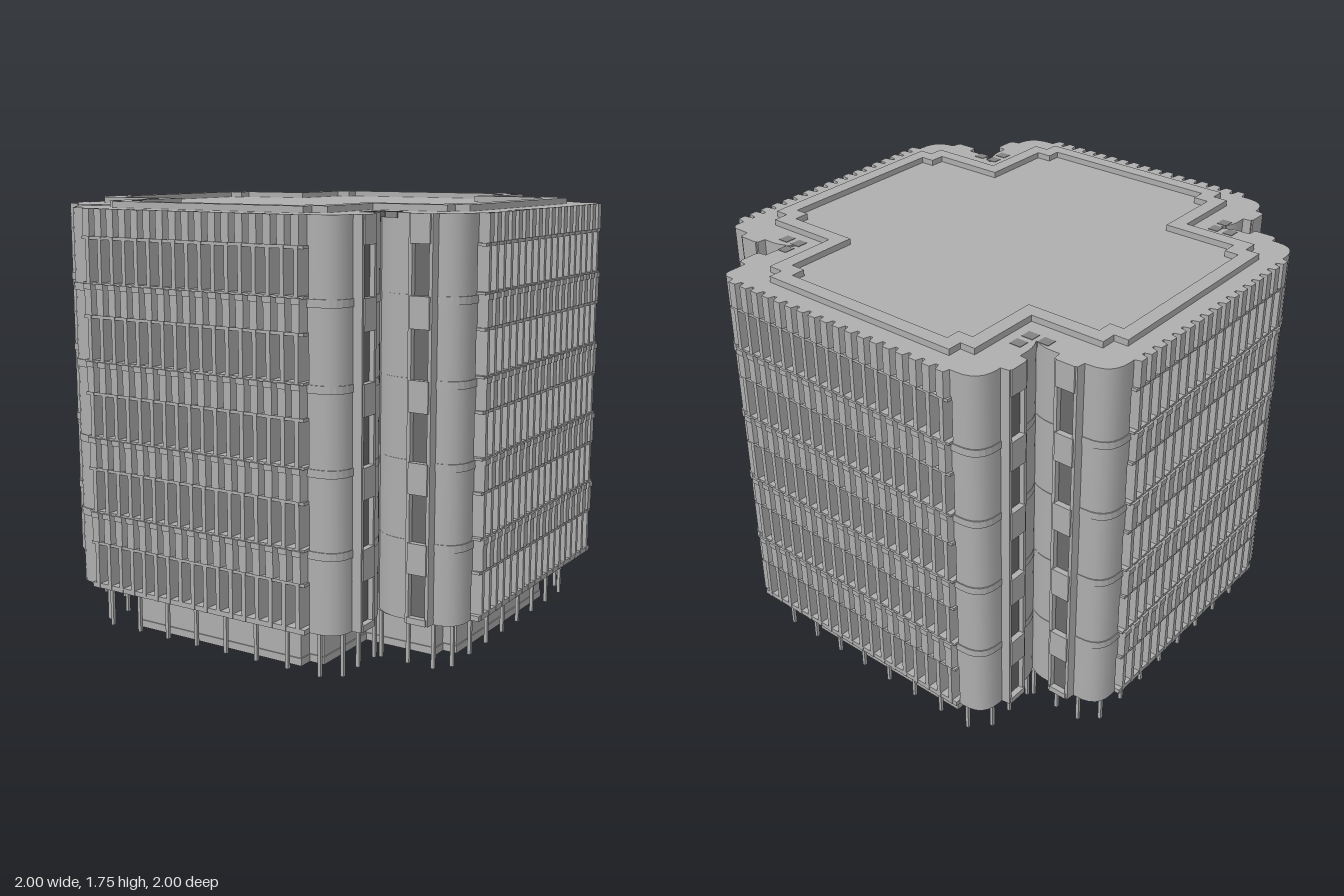
import * as THREE from 'three';
import { mergeGeometries, toCreasedNormals } from 'three/addons/utils/BufferGeometryUtils.js';

const concrete = new THREE.MeshStandardMaterial({ color: 0xaeaeae });
const shell = new THREE.MeshStandardMaterial({ color: 0xaeaeae, side: THREE.DoubleSide });
const glass = new THREE.MeshStandardMaterial({ color: 0x6a6a6a });
const pad = new THREE.MeshStandardMaterial({ color: 0x828282 });

const TOP = 1.727, BOTTOM = 0.195, FLOORS = 5, STEP = 0.3075;

// Four wings, turned a quarter each: side lines a/b, facade limits f0/f1,
// end distance v, rib tip, rib count, corner radii r0/r1
const WINGS = [
  { a: -0.65, b: 0.635, f0: -0.53, f1: 0.51, v: 0.95, tip: 0.99, n: 17, r0: 0.1, r1: 0.1 },
  { a: -0.63, b: 0.65, f0: -0.51, f1: 0.59, v: 0.95, tip: 0.99, n: 18, r0: 0.1, r1: 0.04 },
  { a: -0.635, b: 0.65, f0: -0.58, f1: 0.53, v: 0.97, tip: 0.997, n: 18, r0: 0.04, r1: 0.1 },
  { a: -0.65, b: 0.63, f0: -0.53, f1: 0.51, v: 0.97, tip: 0.997, n: 17, r0: 0.1, r1: 0.1 },
];

// Upright extrusion of a plan shape (plan y = -z)
function rise(shape, y0, y1) {
  const g = new THREE.ExtrudeGeometry(shape, { depth: y1 - y0, bevelEnabled: false, curveSegments: 6 });
  return g.rotateX(-Math.PI / 2).translate(0, y0, 0);
}

// Trapezoid prism standing on the line z = z0 and pointing to z1
function tooth(x, wBase, wTip, z0, z1, y0, y1) {
  const s = new THREE.Shape([[-wBase, z0], [-wTip, z1], [wTip, z1], [wBase, z0]]
    .map(([px, pz]) => new THREE.Vector2(x + px / 2, -pz)));
  return rise(s, y0, y1);
}

function box(x0, x1, y0, y1, z0, z1) {
  return new THREE.BoxGeometry(x1 - x0, y1 - y0, z1 - z0)
    .translate((x0 + x1) / 2, (y0 + y1) / 2, (z0 + z1) / 2);
}

// Rounded cross plan; facades sunk by d, everything grown by factor k
function plan(d, k = 1) {
  const s = new THREE.Shape();
  WINGS.forEach((w, i) => {
    const at = (u, v) => {
      let p = [u * k, -v * k];
      for (let j = 0; j < i; j++) p = [-p[1], p[0]];
      return p;
    };
    const line = (u, v) => s.lineTo(...at(u, v));
    const curve = (cu, cv, u, v) => s.quadraticCurveTo(...at(cu, cv), ...at(u, v));
    if (i === 0) s.moveTo(...at(w.a + 0.05, 0.59));
    else line(w.a + 0.05, 0.59);
    curve(w.a + 0.005, 0.64, w.a, 0.7);
    line(w.a, w.v - w.r0);
    curve(w.a, w.v, w.a + w.r0, w.v);
    line(w.f0, w.v);
    if (d > 0) {
      line(w.f0, w.v - d);
      line(w.f1, w.v - d);
    }
    line(w.f1, w.v);
    line(w.b - w.r1, w.v);
    curve(w.b, w.v, w.b, w.v - w.r1);
    line(w.b, 0.7);
    curve(w.b - 0.005, 0.64, w.b - 0.05, 0.59);
  });
  return s;
}

// Square cross plan with one small step at each outer corner
function steppedCross(e) {
  const pts = [];
  const quarter = [[e - 0.44, -e], [e - 0.44, 0.06 - e], [e - 0.375, 0.06 - e], [e - 0.375, 0.375 - e],
    [e - 0.06, 0.375 - e], [e - 0.06, 0.44 - e], [e, 0.44 - e]];
  for (let i = 0; i < 4; i++) {
    for (const q of quarter) {
      let p = q;
      for (let j = 0; j < i; j++) p = [-p[1], p[0]];
      pts.push(new THREE.Vector2(p[0] - 0.01, p[1] + 0.01));
    }
  }
  return pts;
}

function crossRing(outer, inner, y0, y1) {
  const s = new THREE.Shape(steppedCross(outer));
  s.holes.push(new THREE.Path(steppedCross(inner)));
  return rise(s, y0, y1);
}

function createModel() {
  const model = new THREE.Group();
  const add = (parent, name, geometry, mat = concrete) => {
    const mesh = new THREE.Mesh(geometry, mat);
    mesh.name = name;
    parent.add(mesh);
  };

  // Main volume and its roof curb
  add(model, 'towerBody', toCreasedNormals(rise(plan(0.035), BOTTOM, TOP), 0.6));
  add(model, 'roofCurb', crossRing(0.89, 0.83, TOP - 0.01, 1.752));

  // Floor joints running round the whole plan
  const joints = [];
  for (let i = 0; i < FLOORS - 1; i++) {
    const y = 0.48 + i * STEP;
    joints.push(rise(plan(0, 1.004), y, y + 0.03));
  }
  add(model, 'floorJoints', mergeGeometries(joints));

  // Recessed ground floor
  add(model, 'soffit', rise(plan(0, 0.935), 0.18, BOTTOM + 0.002));
  add(model, 'groundWalls', crossRing(0.84, 0.835, 0, 0.185), shell);
  add(model, 'groundPlinth', crossRing(0.845, 0.83, 0, 0.03), shell);

  WINGS.forEach((w, k) => {
    const wing = new THREE.Group();
    wing.name = 'wing' + (k + 1);
    wing.rotation.y = k * Math.PI / 2;
    model.add(wing);

    const spandrels = [], ribs = [], bays = [], panes = [];
    const pitch = (w.f1 - w.f0) / w.n;
    const bottomOf = i => 0.39 + i * STEP;
    const topOf = i => (i === FLOORS - 1 ? TOP : bottomOf(i) + 0.12);

    // Glazing strip behind the ribs
    panes.push(box(w.f0, w.f1, BOTTOM + 0.005, TOP - 0.05, w.v - 0.04, w.v - 0.028));

    // Spandrel bands with ledges over and under each window row
    spandrels.push(box(w.f0, w.f1, BOTTOM, 0.215, w.v - 0.04, w.tip - 0.006));
    for (let i = 0; i < FLOORS; i++) {
      spandrels.push(box(w.f0, w.f1, bottomOf(i), topOf(i), w.v - 0.04, w.v));
      spandrels.push(box(w.f0, w.f1, bottomOf(i) - 0.012, bottomOf(i), w.v - 0.04, w.tip - 0.006));
      if (i < FLOORS - 1) {
        spandrels.push(box(w.f0, w.f1, topOf(i), topOf(i) + 0.01, w.v - 0.04, w.tip - 0.006));
      }
    }

    // Ribs: slim between windows, wide at the spandrels, with a small cap
    for (let j = 0; j < w.n; j++) {
      const x = w.f0 + (j + 0.5) * pitch;
      ribs.push(tooth(x, 0.026, 0.018, w.v - 0.04, w.tip - 0.004, BOTTOM, TOP));
      for (let i = 0; i < FLOORS; i++) {
        ribs.push(tooth(x, 0.052, 0.034, w.v - 0.005, w.tip, bottomOf(i), topOf(i)));
        if (i < FLOORS - 1) {
          ribs.push(tooth(x, 0.055, 0.038, w.v - 0.005, w.tip + 0.004, topOf(i) - 0.018, topOf(i) + 0.004));
        }
      }
    }

    // Projecting window bays on both flanks
    for (const side of [-1, 1]) {
      const wall = side < 0 ? -w.a : w.b;
      const place = g => g.rotateY(side * Math.PI / 2).translate(side * wall, 0, 0.8);
      const parts = [tooth(0, 0.115, 0.08, -0.01, 0.04, BOTTOM, 0.22)];
      for (const m of [-1, 1]) parts.push(tooth(m * 0.042, 0.026, 0.014, -0.01, 0.035, BOTTOM, TOP));
      for (let i = 0; i < FLOORS; i++) {
        parts.push(tooth(0, 0.115, 0.08, -0.01, 0.04, bottomOf(i), topOf(i)));
      }
      bays.push(place(mergeGeometries(parts)));
      panes.push(place(box(-0.045, 0.045, BOTTOM + 0.005, TOP - 0.05, -0.01, 0.016)));
    }

    // Slender columns under the overhang
    const columns = [];
    const column = (x, z) => columns.push(box(x - 0.007, x + 0.007, 0, 0.19, z - 0.007, z + 0.007));
    for (let j = 0; j < 8; j++) column(-0.52 + j * 0.147, k < 2 ? 0.88 : 0.9);
    for (const x of [-0.58, 0.58]) for (const z of [0.6, 0.72, 0.83]) column(x, z);

    // Dark square pads on the roof at the inner corner
    const pads = [[0.59, 0.68], [0.59, 0.612], [0.66, 0.612]]
      .map(([x, z]) => box(x - 0.024, x + 0.024, TOP - 0.02, TOP + 0.002, z - 0.022, z + 0.022));

    add(wing, 'spandrelBands', mergeGeometries(spandrels));
    add(wing, 'facadeRibs', mergeGeometries(ribs));
    add(wing, 'windowBays', mergeGeometries(bays));
    add(wing, 'windowPanes', mergeGeometries(panes.map(g => g.toNonIndexed())), glass);
    add(wing, 'columns', mergeGeometries(columns));
    add(wing, 'cornerPads', mergeGeometries(pads), pad);
  });
  return model;
}

export { createModel };
